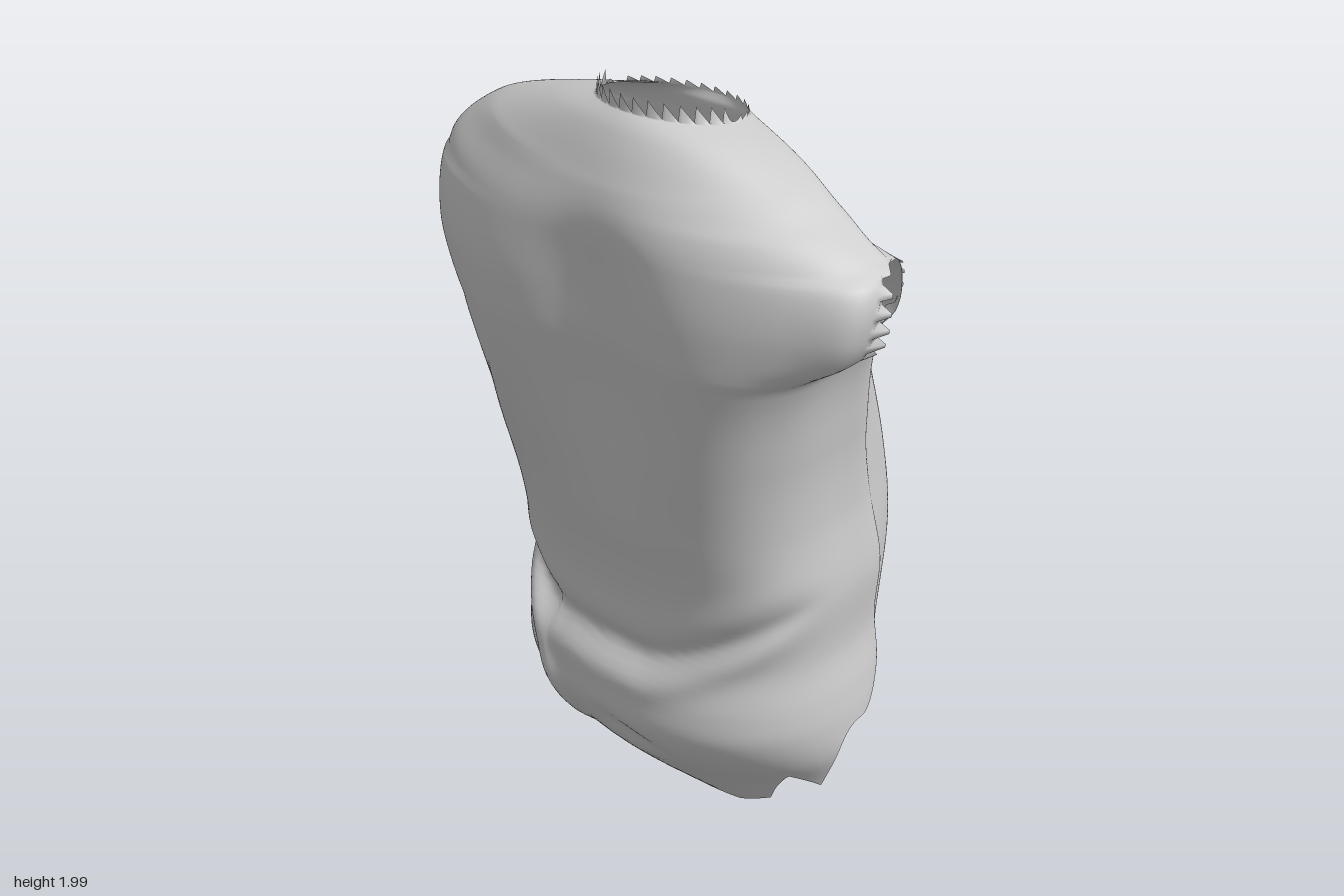
import * as THREE from 'three';
import { mergeVertices, mergeGeometries } from 'three/addons/utils/BufferGeometryUtils.js';

// Cross-sections: height, right half-width, left half-width, front z, back z, side seam z,
// front squareness, back squareness
const SECTIONS = [
  [0.0, 0.42, 0.38, 0.0, -0.03, -0.04, 1.7, 2],
  [0.2, 0.43, 0.41, 0.19, -0.07, -0.06, 1.7, 2.1],
  [0.32, 0.47, 0.44, 0.29, -0.14, -0.06, 2, 2.4],
  [0.42, 0.495, 0.44, 0.335, -0.22, -0.06, 2.3, 2.9],
  [0.5, 0.485, 0.43, 0.33, -0.29, -0.05, 2.4, 3.1],
  [0.62, 0.46, 0.41, 0.295, -0.36, -0.04, 2.5, 3.1],
  [0.8, 0.475, 0.42, 0.295, -0.385, -0.03, 2.6, 3],
  [1.0, 0.465, 0.4, 0.33, -0.37, -0.02, 2.8, 2.8],
  [1.2, 0.465, 0.41, 0.37, -0.31, -0.01, 3.2, 2.6],
  [1.45, 0.485, 0.465, 0.41, -0.215, 0.02, 3.7, 2.2],
  [1.52, 0.525, 0.55, 0.415, -0.175, 0.03, 3.7, 2],
  [1.6, 0.565, 0.59, 0.415, -0.13, 0.05, 3.5, 1.8],
  [1.7, 0.605, 0.59, 0.405, -0.08, 0.08, 2.8, 1.6],
  [1.75, 0.605, 0.53, 0.395, -0.06, 0.1, 2.4, 1.6],
  [1.8, 0.555, 0.45, 0.375, -0.05, 0.1, 2.1, 1.6],
  [1.85, 0.465, 0.37, 0.345, -0.045, 0.1, 2, 1.7],
  [1.9, 0.3, 0.26, 0.295, -0.045, 0.1, 2, 1.9],
  [1.93, 0.165, 0.165, 0.255, -0.055, 0.1, 2, 2],
];
// Hem height against position across the body, -1 to 1
const FRONT_HEM = [[-1, 0.38], [-0.95, 0.22], [-0.88, 0.17], [-0.8, 0.18], [-0.5, 0.11], [-0.46, 0.02],
  [-0.28, 0.06], [-0.08, 0], [0.12, 0.03], [0.5, 0.06], [0.75, 0.14], [0.85, 0.28], [0.95, 0.2], [1, 0.4]];
const BACK_HEM = [[-1, 0.38], [-0.8, 0.42], [0, 0.5], [0.8, 0.51], [0.95, 0.46], [1, 0.4]];

const bump = (d, w) => Math.exp(-(d * d) / (w * w));
const smooth = THREE.MathUtils.smoothstep;

function linear(table, x) {
  let i = 0;
  while (i < table.length - 2 && table[i + 1][0] < x) i++;
  const [a, b] = [table[i], table[i + 1]];
  return a[1] + (b[1] - a[1]) * (x - a[0]) / (b[0] - a[0]);
}

// Smooth interpolation of one column of the section table
function section(y, c) {
  let i = 0;
  while (i < SECTIONS.length - 2 && SECTIONS[i + 1][0] < y) i++;
  const slope = (j) => {
    const p = SECTIONS[Math.max(j - 1, 0)], q = SECTIONS[Math.min(j + 1, SECTIONS.length - 1)];
    return (q[c] - p[c]) / (q[0] - p[0]);
  };
  const a = SECTIONS[i], b = SECTIONS[i + 1], h = b[0] - a[0];
  const t = THREE.MathUtils.clamp((y - a[0]) / h, 0, 1), t2 = t * t, t3 = t2 * t;
  return (2 * t3 - 3 * t2 + 1) * a[c] + (t3 - 2 * t2 + t) * h * slope(i)
    + (3 * t2 - 2 * t3) * b[c] + (t3 - t2) * h * slope(i + 1);
}

// Drapery on the chest, the gathered waist and the lower front
function frontFolds(x, y) {
  const d = y - 0.61 - 0.9 * Math.max(0, x - 0.05, -x - 0.2) ** 1.5;
  const waist = -0.02 * bump(d, 0.035) + 0.014 * bump(d + 0.07, 0.04) + 0.006 * bump(d - 0.08, 0.05);
  const diagonal = 0.022 * bump(x + 0.2 + 1.1 * (y - 0.25) ** 2, 0.04) * smooth(y, 0.1, 0.3) * (1 - smooth(y, 0.6, 0.75));
  const dent = -0.018 * bump(x - 0.02, 0.09) * bump(y - 0.37 + 0.3 * x, 0.035);
  // The right breast sits further forward than the left, with a hollow between
  const chest = (-0.045 * bump(x, 0.14) - 0.06 * x) * smooth(y, 0.9, 1.4) * (1 - smooth(y, 1.55, 1.88));
  const sideFold = 0.015 * bump(x + 0.34 - 0.12 * (y - 1), 0.03) * bump(y - 1.1, 0.28);
  return waist + diagonal + dent + chest + sideFold;
}

// Long hanging folds on the back
function backFolds(x, y) {
  const hang = smooth(y, 0.35, 0.75) * (1 - smooth(y, 1.1, 1.6));
  const ridges = 0.035 * bump(x - 0.05, 0.05) + 0.005 * bump(x + 0.2, 0.08) + 0.02 * bump(x - 0.27, 0.05)
    - 0.07 * bump(x - 0.38, 0.05) + 0.02 * bump(x + 0.43, 0.05) - 0.025 * bump(x + 0.33, 0.05);
  return hang * ridges;
}

// One half of the garment: side is +1 for the front and -1 for the back
function panel(side) {
  const front = side > 0;
  const COLS = 120, ROWS = 100, HEM_ROWS = 45, WAIST = 0.8, TOP = 1.93, CORE = 0.48;
  const positions = [], index = [];
  for (let r = 0; r <= ROWS + HEM_ROWS; r++) {
    for (let c = 0; c <= COLS; c++) {
      const angle = Math.PI * c / COLS;
      const cos = c === 0 ? 1 : c === COLS ? -1 : Math.cos(angle);
      const sin = c % COLS === 0 ? 0 : Math.sin(angle);
      const sign = Math.sign(cos), across = Math.abs(cos);
      const hem = linear(front ? FRONT_HEM : BACK_HEM, sign * across ** 0.9);
      let y = r <= ROWS
        ? TOP - (TOP - WAIST) * (r / ROWS) ** 1.5
        : WAIST + (hem - WAIST) * (r - ROWS) / HEM_ROWS;

      // Body width, with the sleeve stub flaring out only near the tip
      const power = 2 / section(y, front ? 6 : 7);
      const left = cos > 0;
      const width = section(y, left ? 2 : 1);
      const core = Math.min(width, CORE);
      let x = sign * (core * across ** power + (width - core) * across ** (front ? 4 : 6));

      // The seam parts into an oval armhole that faces slightly backwards
      const hole = Math.sqrt(Math.max(0, 1 - ((y - 1.59) / 0.135) ** 2));
      const edge = (1 - sin) ** 2 * hole;
      const seam = section(y, 5) - (left ? 0 : 0.02) * bump(y - 1.59, 0.15);
      const fold = front ? frontFolds(x, y) : backFolds(x, y);
      const z = seam + (section(y, front ? 3 : 4) - seam) * sin ** power
        + side * ((front ? 0.08 : 0.11) * edge + fold * smooth(sin, 0, 0.6));
      if (!front) x -= sign * 0.1 * edge;

      // Frayed edge on the left armhole
      if (c === 0 && hole > 0.3) x += r % 4 < 2 ? 0.012 : -0.012;
      // Neckline slopes to the back and ends in ragged teeth
      y += (z - 0.1) * 0.2 * smooth(y, 1.84, 1.93);
      if (r === 0) y += (front ? 0.04 : 0.015) * ((c % 8) / 8) * smooth(sin, 0, 0.2);
      positions.push(x, y, z);
    }
  }
  const w = COLS + 1;
  for (let r = 0; r < ROWS + HEM_ROWS; r++) {
    for (let c = 0; c < COLS; c++) {
      const a = r * w + c, b = a + 1, d = a + w, e = d + 1;
      if (front) index.push(a, b, d, b, e, d);
      else index.push(a, d, b, b, d, e);
    }
  }
  const geometry = new THREE.BufferGeometry();
  geometry.setAttribute('position', new THREE.Float32BufferAttribute(positions, 3));
  geometry.setIndex(index);
  return geometry;
}

export function createModel() {
  const group = new THREE.Group();
  group.name = 'sleevelessShirt';
  // Front and back are welded at the side seams, open at neck, armholes and hem
  const cloth = mergeVertices(mergeGeometries([panel(1), panel(-1)]), 1e-4);
  cloth.computeVertexNormals();
  const shirt = new THREE.Mesh(cloth, new THREE.MeshStandardMaterial({ color: 0xcccccc, side: THREE.DoubleSide }));
  shirt.name = 'shirtBody';
  group.add(shirt);
  return group;
}
